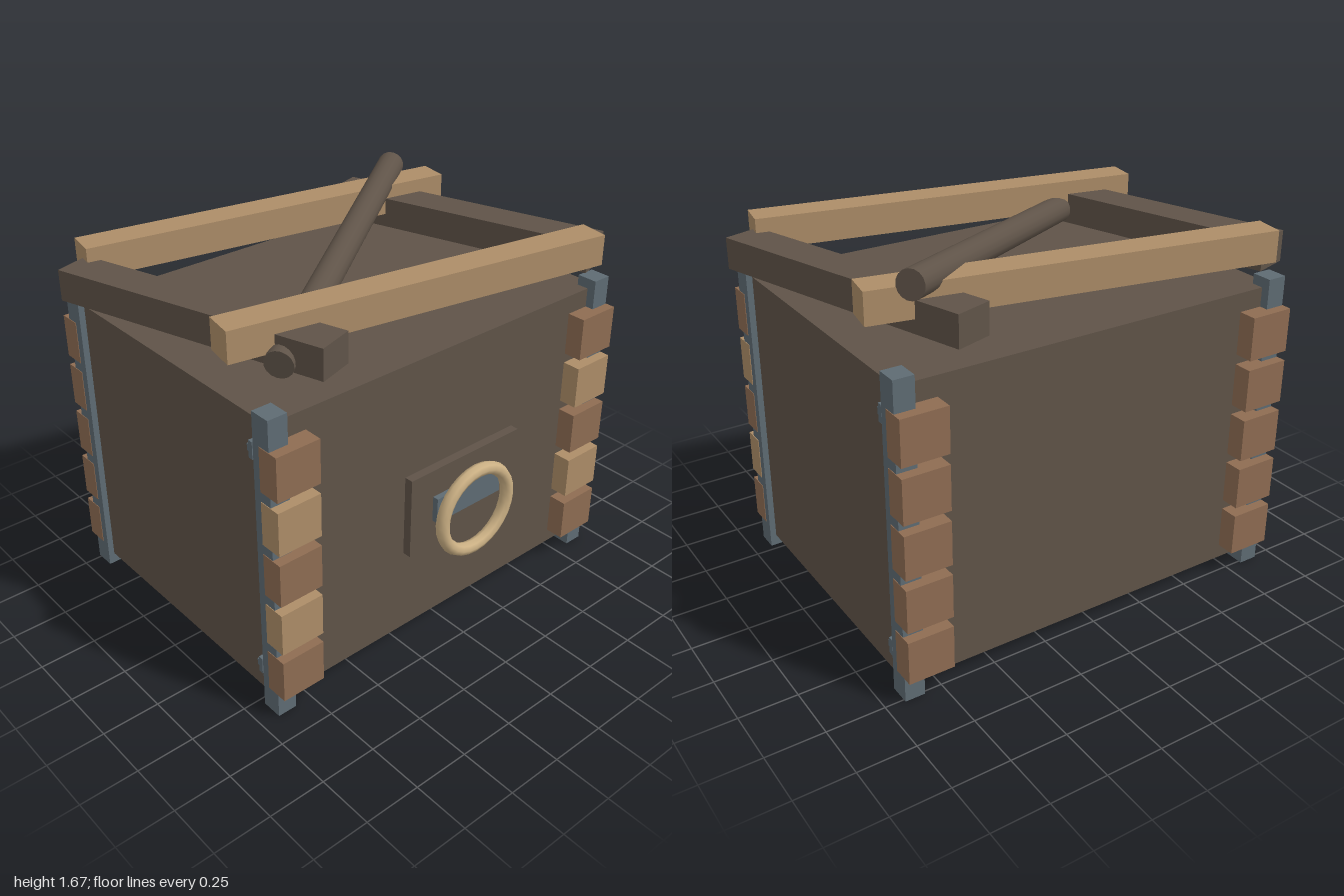
import * as THREE from 'three';

const mat = (name, color) => {
  const m = new THREE.MeshStandardMaterial({ color });
  m.name = name;
  return m;
};

export function createModel() {
  const darkWood = mat('darkWood', 0x5f5348);
  const tanWood = mat('tanWood', 0xad8d68);
  const brownBrick = mat('brownBrick', 0x8e6c52);
  const steel = mat('steel', 0x5e6b73);
  const brass = mat('brass', 0xcbb084);

  const model = new THREE.Group();
  model.name = 'crate';
  const midZ = -0.07; // centre of the crate body

  const add = (name, geometry, material, x, y, z, rotY = 0) => {
    const mesh = new THREE.Mesh(geometry, material);
    mesh.name = name;
    mesh.position.set(x, y, z);
    mesh.rotation.y = rotY;
    model.add(mesh);
    return mesh;
  };
  const box = (name, size, material, x, y, z, rotY) =>
    add(name, new THREE.BoxGeometry(...size), material, x, y, z, rotY);

  // Body
  box('body', [1.78, 1.285, 1.31], darkWood, 0, 0.6925, midZ);

  // Corner posts with a stack of five blocks each; tan blocks only at the front
  for (const sx of [-1, 1]) {
    for (const sz of [-1, 1]) {
      box('cornerPost', [0.087, 1.38, 0.093], steel, sx * 0.874, 0.69, midZ + sz * 0.647);
      for (let i = 0; i < 5; i++) {
        const material = sz > 0 && i % 2 ? tanWood : brownBrick;
        box('cornerBlock', [0.2, 0.192, 0.1], material, sx * 0.82, 0.21 + i * 0.236, midZ + sz * 0.688);
      }
    }
    // Small hinges beside two opposite posts
    for (const y of [0.185, 1.203]) {
      box('hinge', [0.03, 0.075, 0.022], steel, sx * 0.896, y, midZ - sx * 0.575);
      box('hingePin', [0.02, 0.03, 0.02], steel, sx * 0.896, y, midZ - sx * 0.558);
    }
  }

  // Crossed roof beams: two dark ones below, two tan ones above
  for (const s of [-1, 1]) {
    box('lowerBeam', [0.167, 0.135, 1.275], darkWood, s * 0.725, 1.4655, midZ, 0.3);
    box('upperBeam', [1.737, 0.135, 0.138], tanWood, 0, 1.5255, midZ + s * 0.484, -0.178);
  }

  // Tilted pole lying across the beams
  const low = new THREE.Vector3(-0.7, 1.434, 0.41);
  const high = new THREE.Vector3(0.72, 1.615, -0.55);
  const along = high.clone().sub(low);
  const centre = low.clone().add(high).multiplyScalar(0.5);
  const pole = add('pole', new THREE.CylinderGeometry(0.06, 0.06, along.length(), 16),
    darkWood, centre.x, centre.y, centre.z);
  pole.quaternion.setFromUnitVectors(new THREE.Vector3(0, 1, 0), along.normalize());

  // Front fitting: backing board, steel strip and ring
  box('backingBoard', [0.6, 0.365, 0.038], darkWood, 0, 0.718, 0.69);
  box('steelStrip', [0.36, 0.115, 0.026], steel, 0, 0.718, 0.722);
  add('ring', new THREE.TorusGeometry(0.185, 0.028, 8, 28), brass, 0, 0.67, 0.773);

  return model;
}
